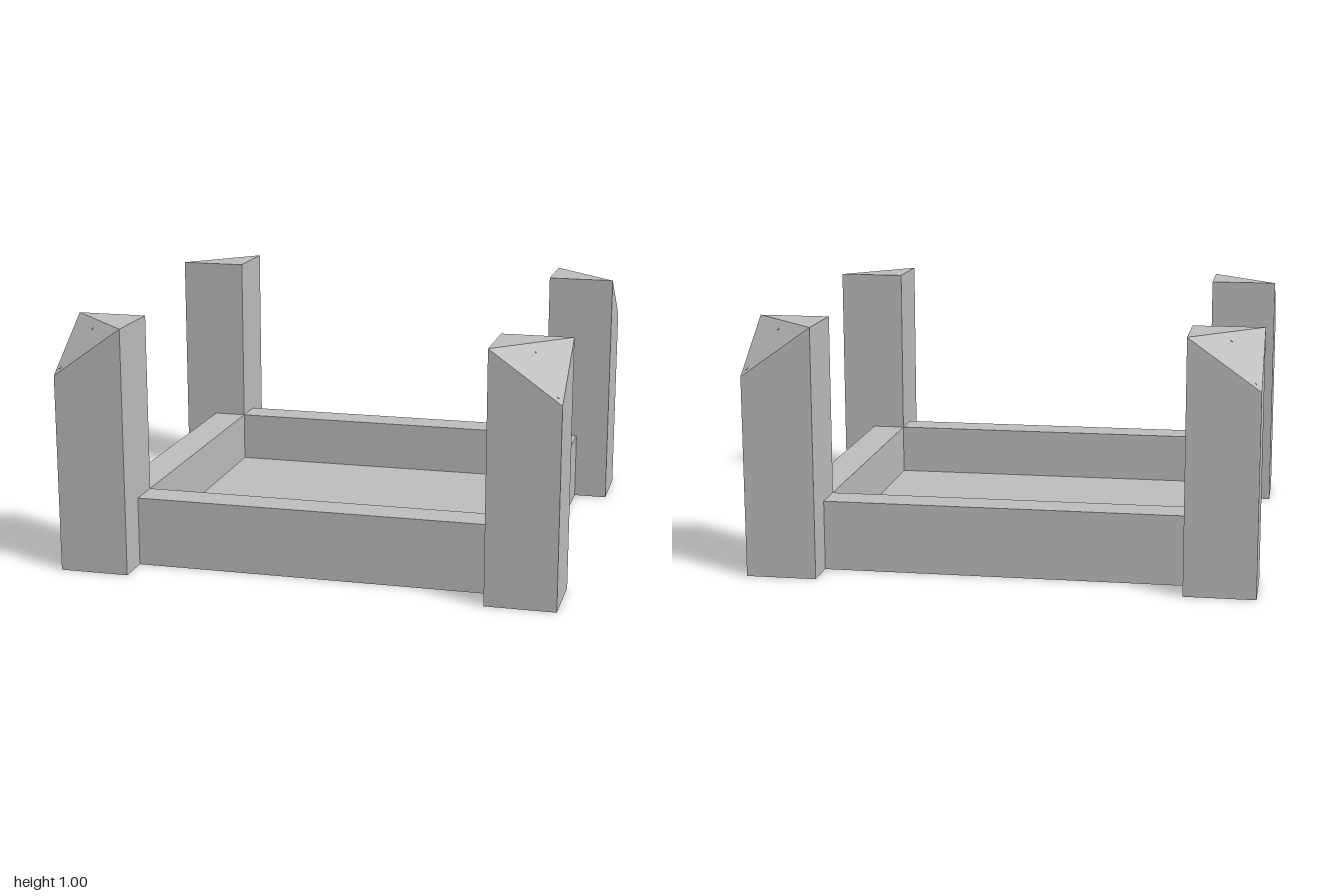
import * as THREE from 'three';
import { ConvexGeometry } from 'three/addons/geometries/ConvexGeometry.js';

const W = 1, D = 0.91;          // outer half width and half depth
const POST = 0.28, RAIL = 0.14; // post side, rail thickness
const RAIL_H = 0.28, FLOOR_H = 0.07;
const CUT = 0.2;                // drop of the bevelled outer corner
const SLOPE = CUT / POST;

export function createModel() {
  const group = new THREE.Group();
  const grey = new THREE.MeshStandardMaterial({ color: 0xbfbfbf, flatShading: true });
  grey.name = 'grey';

  const add = (name, geometry, parent = group) => {
    const mesh = new THREE.Mesh(geometry, grey);
    mesh.name = name;
    parent.add(mesh);
    return mesh;
  };
  const box = (name, w, h, d, x, z) =>
    add(name, new THREE.BoxGeometry(w, h, d)).position.set(x, h / 2, z);

  const ix = W - POST, iz = D - POST; // inner half sizes of the tray

  // Tray floor
  box('floor', ix * 2, FLOOR_H, iz * 2, 0, 0);

  // Rails between the posts
  for (const s of [1, -1]) {
    box(s > 0 ? 'frontRail' : 'backRail', ix * 2, RAIL_H, RAIL, 0, s * (iz + RAIL / 2));
    box(s > 0 ? 'leftRail' : 'rightRail', RAIL, RAIL_H, iz * 2, s * (ix + RAIL / 2), 0);
  }

  // Corner posts, each with its outer top corner cut away
  for (const sx of [1, -1]) for (const sz of [1, -1]) {
    const post = new THREE.Group();
    post.name = (sz > 0 ? 'front' : 'back') + (sx > 0 ? 'Left' : 'Right') + 'Post';
    group.add(post);

    const points = [];
    for (const x of [ix, W]) for (const z of [iz, D]) {
      const top = x === W && z === D ? 1 - CUT : 1;
      points.push(new THREE.Vector3(sx * x, 0, sz * z), new THREE.Vector3(sx * x, top, sz * z));
    }
    add('postBody', new ConvexGeometry(points), post);

    // Two tiny pins on the bevel
    const normal = new THREE.Vector3(sx * SLOPE, 1, sz * SLOPE).normalize();
    for (const inset of [0.02, 0.12]) {
      const pin = add('pin', new THREE.CylinderGeometry(0.006, 0.006, 0.004, 12), post);
      pin.position.set(sx * (W - inset), 1 - CUT + 2 * SLOPE * inset, sz * (D - inset));
      pin.quaternion.setFromUnitVectors(new THREE.Vector3(0, 1, 0), normal);
    }
  }
  return group;
}
